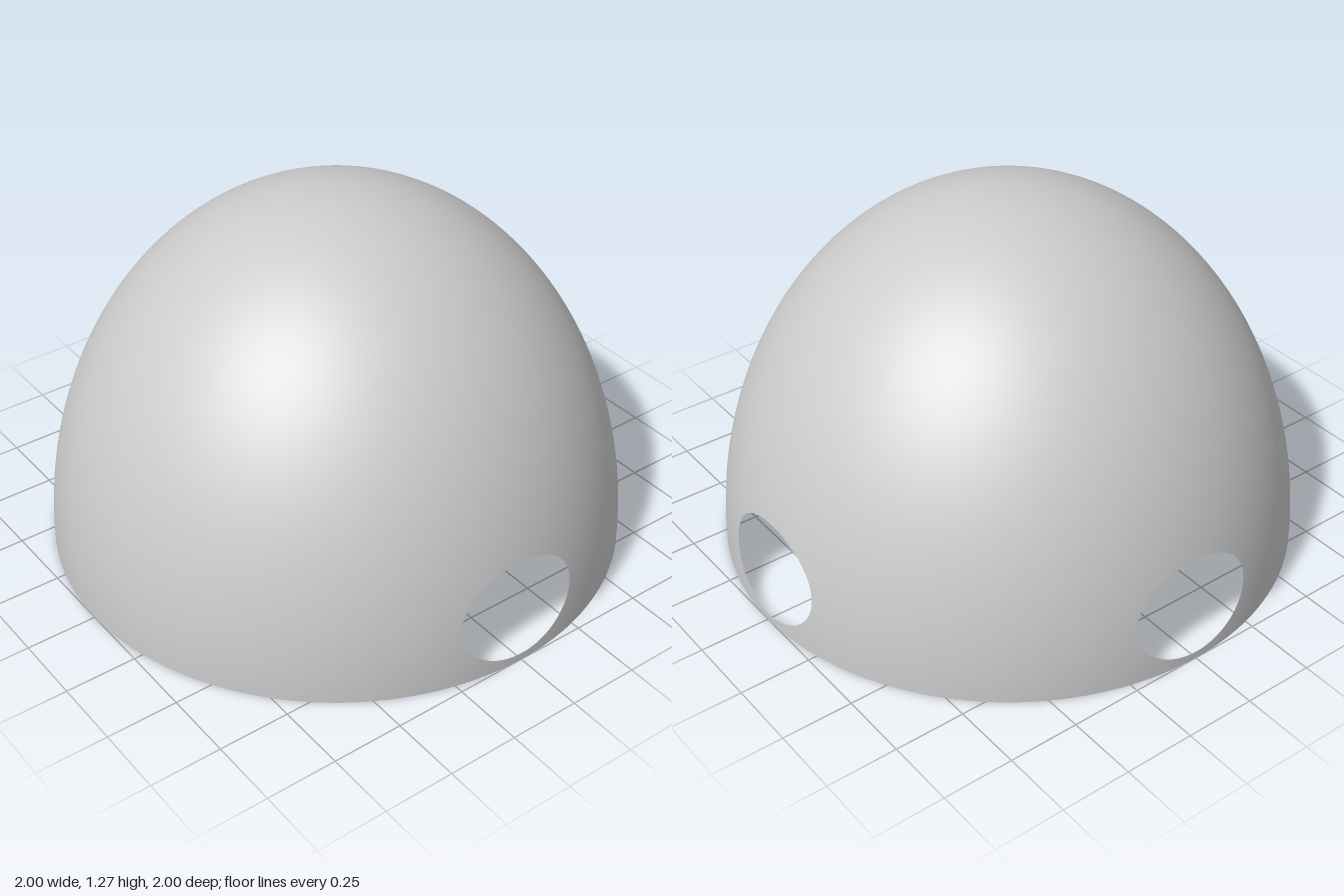
import * as THREE from 'three';
import { mergeGeometries, mergeVertices } from 'three/addons/utils/BufferGeometryUtils.js';

const H = 1.27;                                   // dome height, base radius is 1
const HALF = 0.4;                                 // half angle of the panel around each opening
const BAND = Math.asin(0.46 / H);                 // latitude where the opening band ends
const HOLE = { y: 0.2, rx: 0.228, ry: 0.173 };    // oval opening
const N = 24;                                     // divisions per panel side

// Grid over the half ellipsoid: f(s, t) gives [angle, latitude], angle 0 faces +z
function patch(ns, nt, f) {
  const pos = [], nor = [], idx = [];
  for (let i = 0; i <= ns; i++) {
    for (let j = 0; j <= nt; j++) {
      const [a, v] = f(i / ns, j / nt);
      const r = Math.cos(v), y = H * Math.sin(v);
      const p = new THREE.Vector3(r * Math.sin(a), y, r * Math.cos(a));
      pos.push(p.x, p.y, p.z);
      const n = p.clone().setY(y / (H * H)).normalize();
      nor.push(n.x, n.y, n.z);
      if (i < ns && j < nt) {
        const k = i * (nt + 1) + j, m = k + nt + 1;
        idx.push(k, m, m + 1, k, m + 1, k + 1);
      }
    }
  }
  const g = new THREE.BufferGeometry();
  g.setAttribute('position', new THREE.Float32BufferAttribute(pos, 3));
  g.setAttribute('normal', new THREE.Float32BufferAttribute(nor, 3));
  g.setIndex(idx);
  return g;
}

// Plain sector between two angles and two latitudes
const sector = (a0, a1, v0, v1, rows) =>
  patch(N, rows, (s, t) => [a0 + (a1 - a0) * s, v0 + (v1 - v0) * t]);

// Panel with an oval opening: rings blend from the oval to the panel border
function openPanel(centre) {
  return patch(10, 4 * N, (s, t) => {
    const th = t * 2 * Math.PI - 0.75 * Math.PI;
    const y = HOLE.y + HOLE.ry * Math.sin(th);
    const v = Math.asin(y / H);
    const a = Math.asin(HOLE.rx * Math.cos(th) / Math.cos(v));
    // border point, counter-clockwise from the lower corner
    const side = Math.min(3, Math.floor(t * 4)), q = t * 4 - side;
    const [bx, by] = [[q, 0], [1, q], [1 - q, 1], [0, 1 - q]][side];
    const ba = HALF * (2 * bx - 1), bv = BAND * by;
    return [centre + a + (ba - a) * s, v + (bv - v) * s];
  });
}

export function createModel() {
  const group = new THREE.Group();
  const parts = [];
  const hasOpening = [true, true, true, false];   // front, left, back, right
  hasOpening.forEach((open, i) => {
    const c = i * Math.PI / 2, a0 = c - HALF, a1 = c + HALF, a2 = a0 + Math.PI / 2;
    // lower band
    parts.push(open ? openPanel(c) : sector(a0, a1, 0, BAND, N));
    parts.push(sector(a1, a2, 0, BAND, N));
    // upper cap
    parts.push(sector(a0, a1, BAND, Math.PI / 2, 40));
    parts.push(sector(a1, a2, BAND, Math.PI / 2, 40));
  });
  const material = new THREE.MeshStandardMaterial({ color: 0xcccccc, side: THREE.DoubleSide });
  const dome = new THREE.Mesh(mergeVertices(mergeGeometries(parts)), material);
  dome.name = 'domeShell';
  group.add(dome);
  return group;
}
